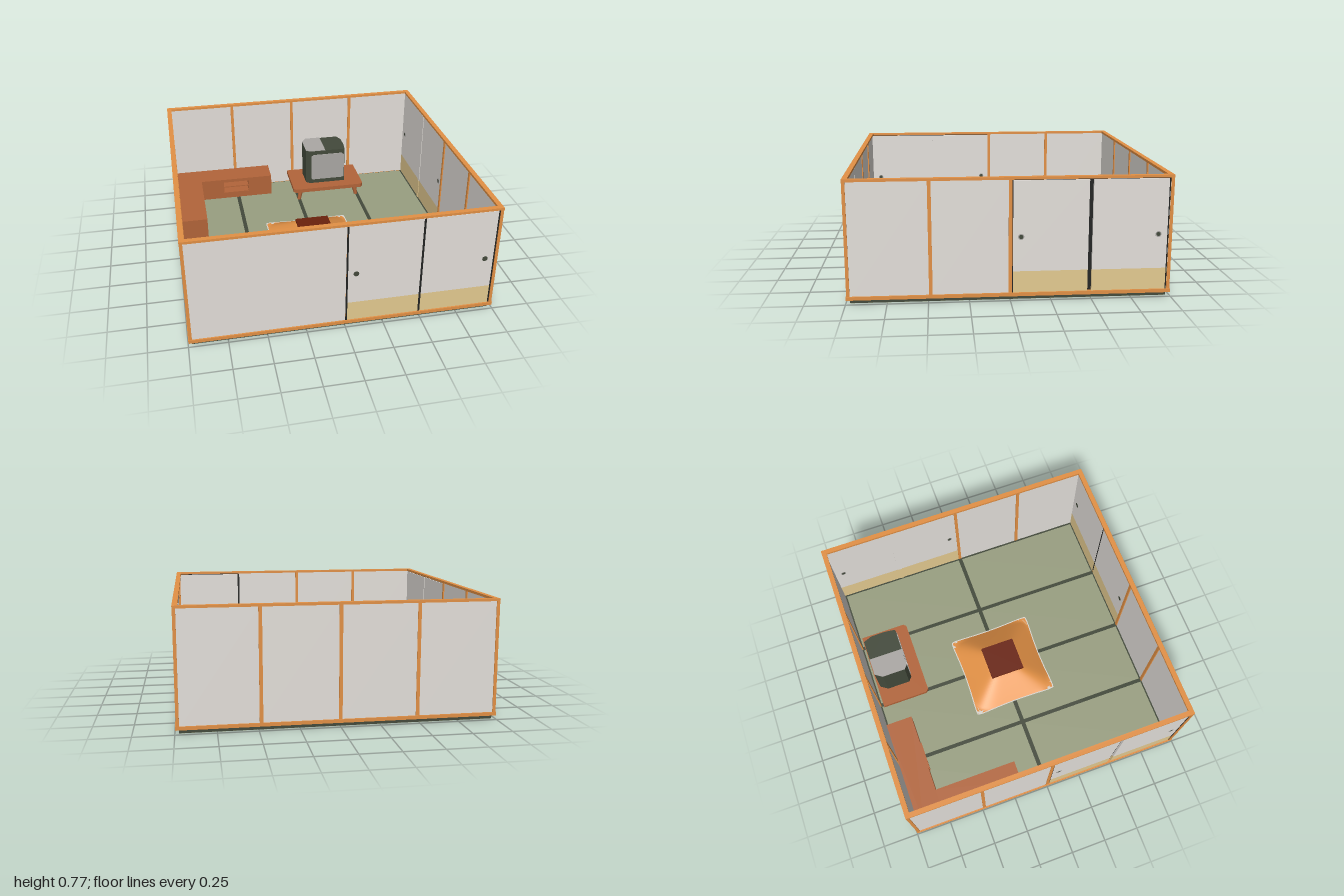
import * as THREE from 'three';

const mat = (name, color, side = THREE.FrontSide) => {
  const m = new THREE.MeshStandardMaterial({ color, side });
  m.name = name;
  return m;
};

export function createModel() {
  const paper = mat('paper white', 0xe4e0db);
  const frame = mat('orange wood', 0xe39145, THREE.DoubleSide);
  const straw = mat('straw yellow', 0xe5cb91);
  const tatami = mat('tatami green', 0x999f81);
  const olive = mat('dark olive', 0x434a3b);
  const black = mat('black', 0x222322);
  const brown = mat('brown wood', 0xb3653a);
  const red = mat('dark red wood', 0x6a220c);
  const grey = mat('screen grey', 0xaba8a5);
  const white = mat('trim white', 0xdad6d0, THREE.DoubleSide);

  const root = new THREE.Group();
  root.name = 'room';
  const add = (parent, name, geo, material) => {
    const m = new THREE.Mesh(geo, material);
    m.name = name;
    parent.add(m);
    return m;
  };
  // box given by its minimum and maximum corners
  const box = (parent, name, material, x0, x1, y0, y1, z0, z1) => {
    const m = add(parent, name, new THREE.BoxGeometry(x1 - x0, y1 - y0, z1 - z0), material);
    m.position.set((x0 + x1) / 2, (y0 + y1) / 2, (z0 + z1) / 2);
    return m;
  };
  const polygon = (pts) => new THREE.Shape(pts.map(([x, y]) => new THREE.Vector2(x, y)));

  // floor: dark base with eight mats, their undersides showing below
  const floor = new THREE.Group();
  floor.name = 'floor';
  root.add(floor);
  box(floor, 'floorBase', olive, -0.975, 0.975, 0.002, 0.026, -0.975, 0.975);
  for (let i = 0; i < 4; i++) {
    const cx = -0.7275 + i * 0.485;
    const u0 = i === 0 ? -0.972 : cx - 0.2315;
    const u1 = i === 3 ? 0.972 : cx + 0.2315;
    for (const s of [-1, 1]) {
      box(floor, 'mat', tatami, cx - 0.228, cx + 0.228, 0.024, 0.032, s * 0.487 - 0.472, s * 0.487 + 0.472);
      box(floor, 'matUnderside', tatami, u0, u1, 0, 0.003, s * 0.487 - 0.485, s * 0.487 + 0.485);
    }
    // dark stitches along the middle seam, thicker where seams cross
    for (let k = -2; k <= 2; k++) {
      box(floor, 'underStitch', olive, cx + k * 0.09 - 0.01, cx + k * 0.09 + 0.01, -0.0005, 0.002, -0.007, 0.007);
    }
    if (i < 3) box(floor, 'seamCrossing', olive, cx + 0.2125, cx + 0.2725, -0.0005, 0.002, -0.018, 0.018);
  }

  // one wall facing local +z; sliding doors fill its +x half
  const wall = (name, angle, doors, outerPosts) => {
    const g = new THREE.Group();
    g.name = name;
    g.rotation.y = angle;
    root.add(g);
    box(g, 'bottomRail', frame, -0.995, 0.995, 0.026, 0.048, 0.972, 0.998);
    box(g, 'topRail', frame, -0.995, 0.995, 0.754, 0.77, 0.962, 0.995);
    for (const s of [-1, 1]) {
      box(g, 'cornerPost', frame, s * 0.985 - 0.009, s * 0.985 + 0.009, 0.03, 0.768, 0.974, 0.993);
    }
    for (const x of doors ? [-0.485, 0] : [-0.485, 0, 0.485]) {
      box(g, 'post', frame, x - 0.011, x + 0.011, 0.04, 0.76, 0.962, outerPosts ? 0.992 : 0.982);
    }
    for (let i = 0; i < (doors ? 2 : 4); i++) {
      const x = -0.976 + i * 0.488;
      box(g, 'panel', paper, x, x + 0.488, 0.03, 0.757, 0.97, 0.988);
    }
    if (!doors) return;
    // side walls have a wider, deeper slot between the doors
    const slot = outerPosts ? 0.0125 : 0.007;
    const mid = 0.49;
    for (const [x0, x1, knobX] of [[0.004, mid - slot, 0.065], [mid + slot, 0.976, 0.91]]) {
      box(g, 'slidingDoor', paper, x0, x1, 0.183, 0.748, 0.968, 0.988);
      box(g, 'doorLowerPanel', straw, x0, x1, 0.03, 0.183, 0.968, 0.988);
      const pull = (r, depth, material) => {
        const knob = add(g, 'doorPull', new THREE.CylinderGeometry(r, r, depth, 14), material);
        knob.rotation.x = Math.PI / 2;
        knob.position.set(knobX, 0.4, 0.978);
      };
      if (outerPosts) pull(0.019, 0.0215, grey);
      pull(outerPosts ? 0.013 : 0.018, 0.023, olive);
    }
    if (outerPosts) {
      // door overlap closing the slot from inside
      box(g, 'doorOverlap', paper, mid - 0.016, mid + 0.016, 0.183, 0.748, 0.964, 0.969);
      box(g, 'doorOverlapLower', straw, mid - 0.016, mid + 0.016, 0.03, 0.183, 0.964, 0.969);
      box(g, 'doorGap', black, mid - 0.0125, mid + 0.0125, 0.048, 0.754, 0.969, 0.972);
    } else {
      box(g, 'doorGap', black, mid - 0.007, mid + 0.007, 0.048, 0.754, 0.97, 0.987);
    }
    // thin dark lines at the door ends and under the top rail
    box(g, 'doorEndGap', black, 0.965, outerPosts ? 0.972 : 0.976, 0.048, 0.754, 0.986, 0.989);
    box(g, 'doorStartGap', black, 0.001, outerPosts ? 0.016 : 0.012, 0.048, 0.754, 0.986, 0.989);
    box(g, 'doorTopGap', black, outerPosts ? 0.01 : mid, 0.972, 0.746, 0.755, 0.976, 0.979);
    if (!outerPosts) box(g, 'doorTop', paper, 0.012, mid, 0.747, 0.755, 0.968, 0.988);
  };
  wall('frontWall', 0, true, false);
  wall('rightWall', Math.PI / 2, true, true);
  wall('backWall', Math.PI, false, true);
  wall('leftWall', -Math.PI / 2, true, true);

  // corner cabinet: two low units with an open niche and a shelf
  const cabinet = (name, x0, x1, n0, n1) => {
    const g = new THREE.Group();
    g.name = name;
    const face = polygon([[x0, 0.03], [x1, 0.03], [x1, 0.2], [x0, 0.2]]);
    face.holes.push(new THREE.Path([[n0, 0.085], [n0, 0.175], [n1, 0.175], [n1, 0.085]]
      .map(([x, y]) => new THREE.Vector2(x, y))));
    add(g, 'cabinetBody', new THREE.ExtrudeGeometry(face, { depth: 0.15, bevelEnabled: false }), brown);
    box(g, 'cabinetBack', brown, x0, x1, 0.03, 0.2, -0.04, 0);
    box(g, 'nicheShelf', brown, n0, n1, 0.125, 0.133, 0, 0.145);
    box(g, 'nicheSill', brown, n0 - 0.008, n1 + 0.008, 0.078, 0.086, 0.14, 0.157);
    root.add(g);
    return g;
  };
  cabinet('backCabinet', -0.965, -0.21, -0.6, -0.4).position.z = -0.922;
  const side = cabinet('sideCabinet', 0.18, 0.775, 0.43, 0.7);
  side.rotation.y = Math.PI / 2;
  side.position.x = -0.928;

  // low table with splayed legs
  const stand = new THREE.Group();
  stand.name = 'lowTable';
  stand.position.set(0.237, 0, -0.765);
  root.add(stand);
  const top = polygon([[-0.287, 0.175], [0.287, 0.175], [0.287, -0.155], [0.268, -0.175],
    [-0.268, -0.175], [-0.287, -0.155]]);
  const slab = add(stand, 'tableTop', new THREE.ExtrudeGeometry(top, { depth: 0.03, bevelEnabled: false }), brown);
  slab.rotation.x = -Math.PI / 2;
  slab.position.y = 0.115;
  for (const sx of [-1, 1]) for (const sz of [-1, 1]) {
    const leg = add(stand, 'tableLeg', new THREE.CylinderGeometry(0.02, 0.014, 0.092, 8), brown);
    leg.position.set(sx * 0.23, 0.076, sz * 0.125);
    leg.rotation.set(-sz * 0.12, 0, sx * 0.2);
  }

  // television: chamfered casing, half pale lid, screen
  const tv = new THREE.Group();
  tv.name = 'television';
  root.add(tv);
  const prism = (name, pts, y, h, material) => {
    const m = add(tv, name, new THREE.ExtrudeGeometry(polygon(pts), { depth: h, bevelEnabled: false }), material);
    m.rotation.x = -Math.PI / 2;
    m.position.y = y;
  };
  const leftEdge = [[0.225, 0.92], [0.105, 0.92], [0.07, 0.87], [0.07, 0.705], [0.1, 0.68], [0.225, 0.68]];
  prism('casing', [...leftEdge, [0.385, 0.68], [0.395, 0.76], [0.393, 0.86], [0.37, 0.92]], 0.145, 0.288, olive);
  prism('paleLid', leftEdge, 0.433, 0.004, grey);
  const screen = polygon([[0.11, 0.19], [0.12, 0.18], [0.37, 0.18], [0.38, 0.19],
    [0.38, 0.385], [0.36, 0.4], [0.13, 0.4], [0.11, 0.385]]);
  add(tv, 'screen', new THREE.ExtrudeGeometry(screen, { depth: 0.006, bevelEnabled: false }), grey)
    .position.z = -0.68;

  // heated table: quilt draped from a small top, edges pinched between rounded corners
  const heated = new THREE.Group();
  heated.name = 'heatedTable';
  heated.position.set(-0.01, 0, 0.008);
  root.add(heated);
  const quilt = (name, size, height, material) => {
    const geo = new THREE.PlaneGeometry(2, 2, 36, 36).rotateX(-Math.PI / 2);
    const p = geo.attributes.position;
    for (let i = 0; i < p.count; i++) {
      const u = p.getX(i), v = p.getZ(i);
      const r = Math.pow(u ** 6 + v ** 6, 1 / 6);
      const t = THREE.MathUtils.clamp((r - 0.38) / 0.62, 0, 1);
      const round = 1 - 0.04 * (u * v) ** 8;
      const x = u * size * round * (1 - 0.05 * Math.abs(u) * (1 - v * v));
      const z = v * size * round * (1 - 0.06 * Math.abs(v) * (1 - u * u));
      p.setXYZ(i, x + 0.005 * v * u * u, 0.038 + height * (1 - t), z);
    }
    geo.computeVertexNormals();
    add(heated, name, geo, material);
  };
  quilt('quilt', 0.312, 0.115, frame);
  quilt('quiltTrim', 0.32, 0, white);
  box(heated, 'heatedTableTop', red, -0.115, 0.132, 0.148, 0.165, -0.12, 0.13);

  return root;
}
